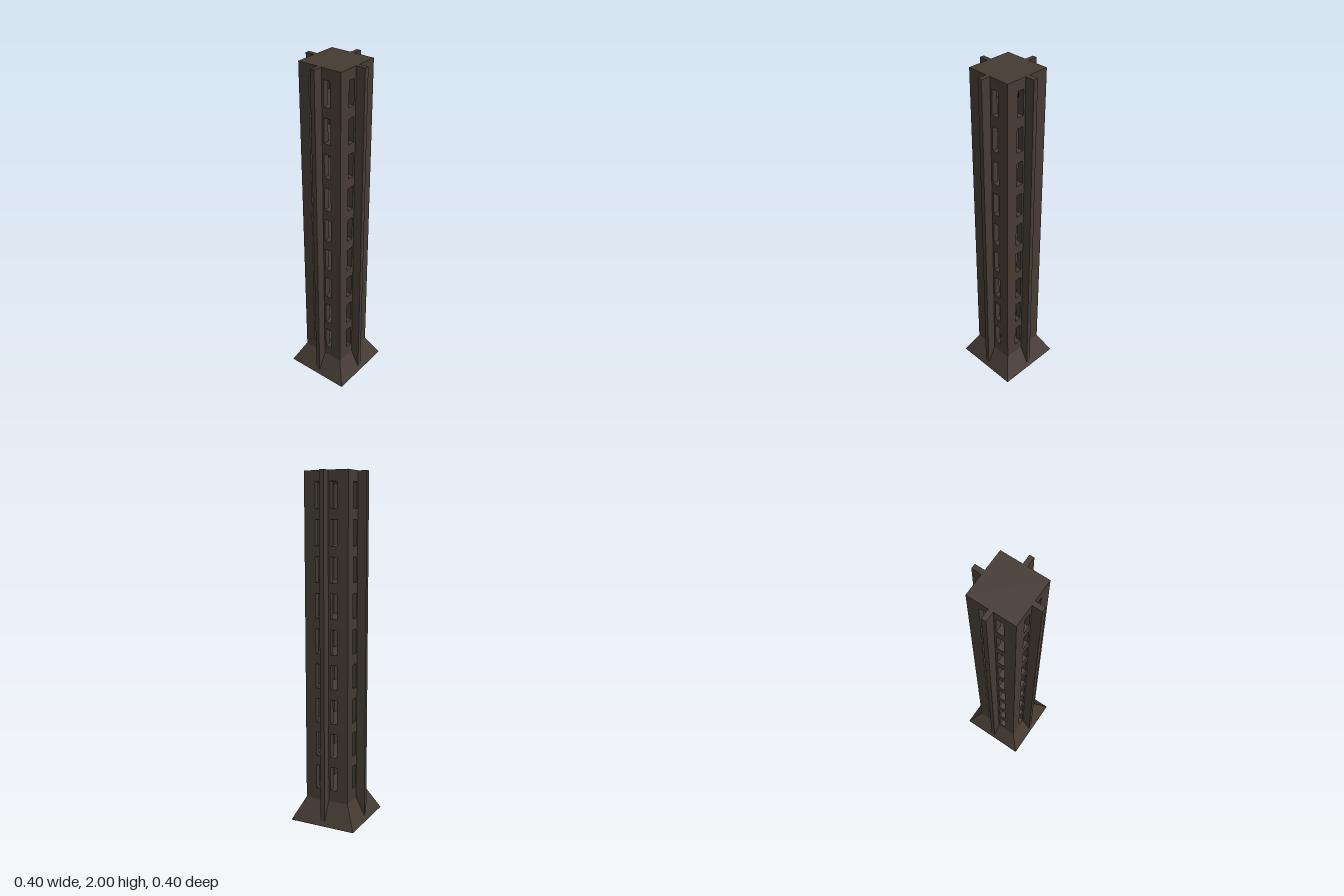
import * as THREE from 'three';

const HALF = 0.133;   // half width of the shaft
const WALL = 0.035;   // wall thickness
const LEVELS = 9;
const STEP = 0.2;

function rect(path, x0, y0, x1, y1) {
  path.moveTo(x0, y0);
  path.lineTo(x1, y0);
  path.lineTo(x1, y1);
  path.lineTo(x0, y1);
  path.closePath();
  return path;
}

export function createModel() {
  const tower = new THREE.Group();
  tower.name = 'tower';
  const stone = new THREE.MeshStandardMaterial({ color: 0x443b32 });
  stone.name = 'dark brown stone';
  stone.side = THREE.DoubleSide;

  const add = (name, geometry, y = 0, parent = tower) => {
    const mesh = new THREE.Mesh(geometry, stone);
    mesh.name = name;
    mesh.position.y = y;
    parent.add(mesh);
    return mesh;
  };

  // Wall panel with two columns of window openings
  const panel = rect(new THREE.Shape(), -HALF, 0.133, HALF - WALL, 1.94);
  for (let i = 0; i < LEVELS; i++) {
    const y = STEP * (i + 1);
    panel.holes.push(rect(new THREE.Path(), -0.067, y, -0.025, y + 0.14));
    panel.holes.push(rect(new THREE.Path(), 0.025, y, 0.067, y + 0.14));
  }
  const wallGeometry = new THREE.ExtrudeGeometry(panel, { depth: WALL, bevelEnabled: false });
  wallGeometry.translate(0, 0, HALF - WALL);

  // Tall fin down the middle of each face
  const finGeometry = new THREE.BoxGeometry(0.026, 2, 0.187 - HALF);
  finGeometry.translate(0, 1, (0.187 + HALF) / 2);

  const sideNames = ['front', 'left', 'back', 'right'];
  sideNames.forEach((side, i) => {
    const group = new THREE.Group();
    group.name = side + 'Side';
    group.rotation.y = i * Math.PI / 2;
    add(side + 'Wall', wallGeometry, 0, group);
    add(side + 'Fin', finGeometry, 0, group);
    tower.add(group);
  });

  // Floors between the window rows, and the solid roof
  const inner = 2 * (HALF - WALL);
  add('lowestFloor', new THREE.BoxGeometry(inner, 0.01, inner), 0.195);
  for (let i = 1; i < LEVELS; i++) {
    add('floor' + i, new THREE.BoxGeometry(inner, 0.06, inner), 0.17 + STEP * i);
  }
  add('roof', new THREE.BoxGeometry(2 * HALF, 0.06, 2 * HALF), 1.97);

  // Flared open skirt at the foot: a four-sided cone turned square to the axes
  const skirt = new THREE.CylinderGeometry(HALF * Math.SQRT2, 0.2 * Math.SQRT2, 0.133, 4, 1, true)
    .rotateY(Math.PI / 4).toNonIndexed();
  skirt.computeVertexNormals();
  add('flaredBase', skirt, 0.0665);

  return tower;
}
